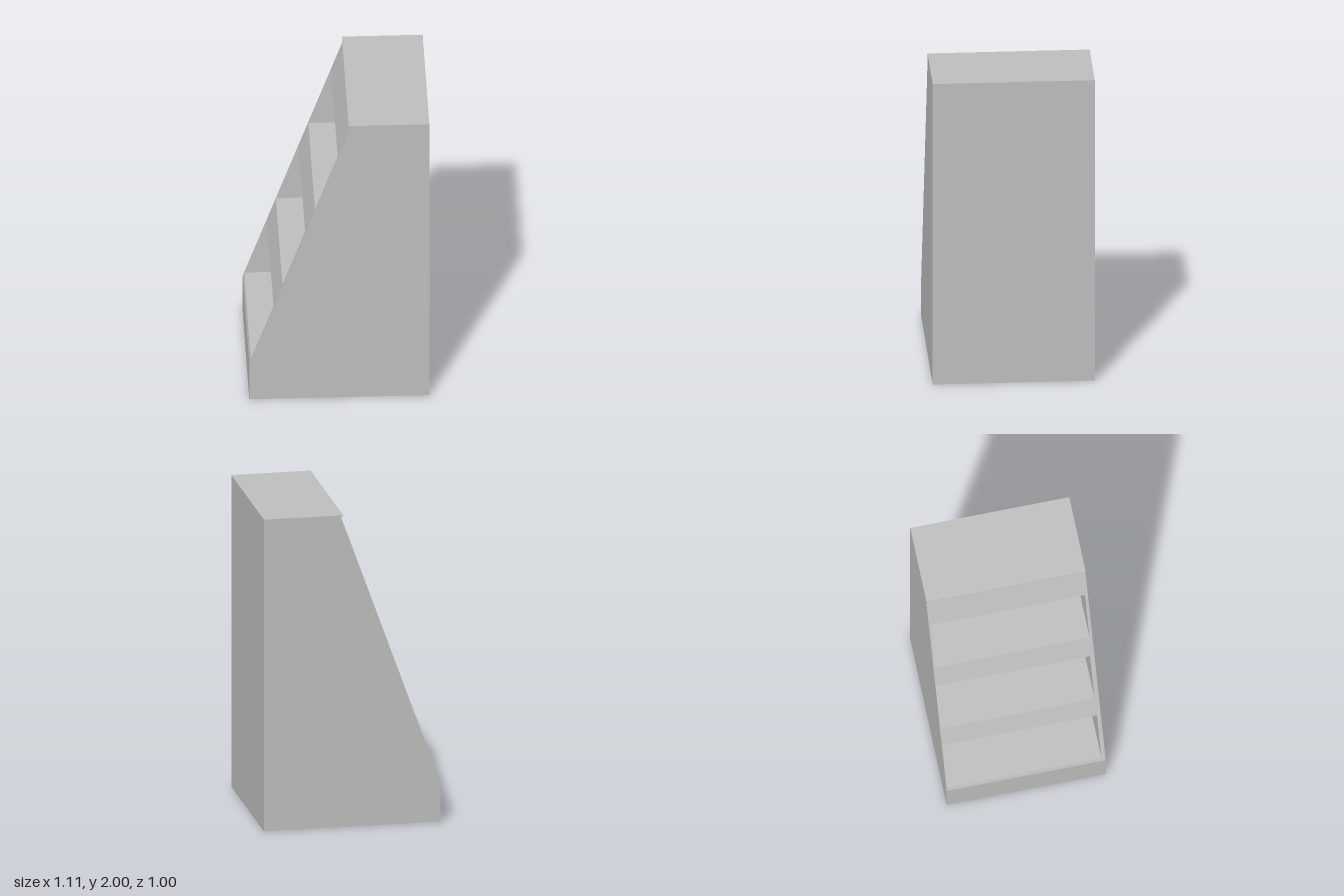
import * as THREE from 'three';

// Sloped face: height on the slope at a given x
const slopeY = (x) => 0.25 + (x + 0.555) * 2.78;

// Cubbies: front edge of floor, upper edge of opening, depth, z range
const cubbies = [
  { x0: -0.545, x1: -0.405, depth: 0.63, z0: -0.495, z1: 0.475 },
  { x0: -0.35, x1: -0.21, depth: 0.585, z0: -0.498, z1: 0.472 },
  { x0: -0.15, x1: -0.01, depth: 0.63, z0: -0.488, z1: 0.482 },
];

// Extrude an xy outline between two z positions
function slab(name, points, z0, z1, material) {
  const shape = new THREE.Shape(points.map(([x, y]) => new THREE.Vector2(x, y)));
  const geometry = new THREE.ExtrudeGeometry(shape, { depth: z1 - z0, bevelEnabled: false });
  geometry.translate(0, 0, z0);
  const mesh = new THREE.Mesh(geometry, material);
  mesh.name = name;
  return mesh;
}

// Side outline of one cubby: floor, slanted opening, ceiling, back
function cubbyOutline({ x0, x1, depth }) {
  const back = x0 + depth;
  return [[x0, slopeY(x0)], [back, slopeY(x0)], [back, slopeY(x1)], [x1, slopeY(x1)]];
}

export function createModel() {
  const group = new THREE.Group();
  group.name = 'slopedShelf';
  const grey = new THREE.MeshStandardMaterial({ color: 0xc0c0c0 });
  grey.name = 'light grey';

  // Body outline, notched by the cubbies, with a small lip at the top
  const outline = [
    [0.555, 0], [0.555, 2], [0.057, 2], [0.057, 1.996], [0.07, slopeY(0.07)],
    ...[...cubbies].reverse().flatMap((c) => cubbyOutline(c).reverse()),
    [-0.555, 0.25], [-0.555, 0],
  ];
  group.add(slab('body', outline, -0.5, 0.5, grey));

  // Thin side walls closing each cubby
  cubbies.forEach((c, i) => {
    group.add(slab(`backWall${i + 1}`, cubbyOutline(c), -0.5, c.z0, grey));
    group.add(slab(`frontWall${i + 1}`, cubbyOutline(c), c.z1, 0.5, grey));
  });
  return group;
}
